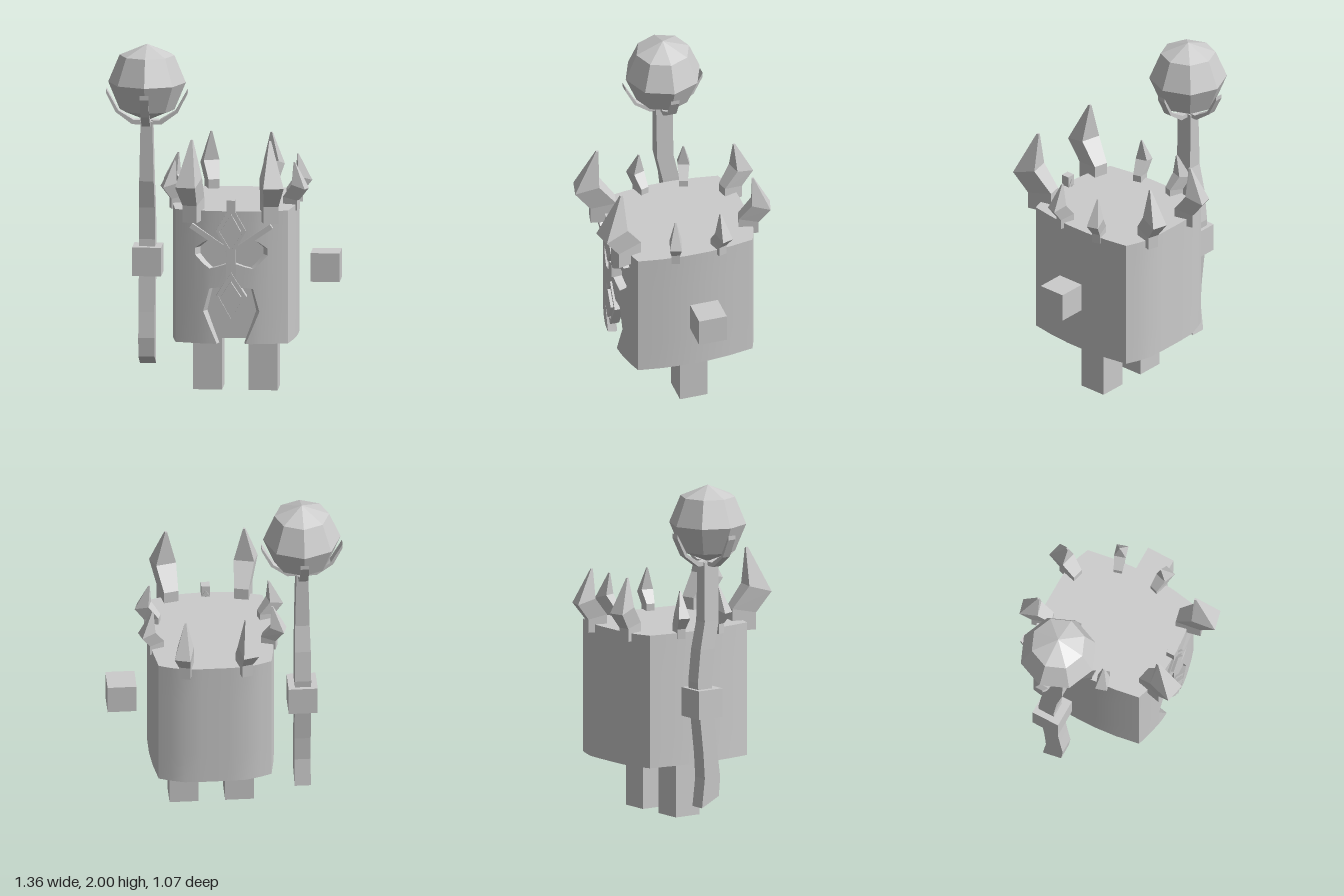
import * as THREE from 'three';
import { mergeVertices, toCreasedNormals } from 'three/addons/utils/BufferGeometryUtils.js';

const CX = 0.073, CZ = -0.03, BOTTOM = 0.33, TOP = 1.11, INNER = 0.87;
const flat = new THREE.MeshStandardMaterial({ color: 0xcccccc, flatShading: true });
const smooth = new THREE.MeshStandardMaterial({ color: 0xcccccc });

function add(parent, name, geometry, x = 0, y = 0, z = 0, material = flat) {
  const mesh = new THREE.Mesh(geometry, material);
  mesh.name = name;
  mesh.position.set(x, y, z);
  parent.add(mesh);
  return mesh;
}

// Collects quads (corners counter-clockwise from outside), dropping empty triangles
function quadBuilder() {
  const pos = [], tri = new THREE.Triangle();
  const put = (...p) => {
    tri.set(...p.map(v => new THREE.Vector3(...v)));
    if (tri.getArea() > 1e-7) pos.push(...p.flat());
  };
  return {
    quad(a, b, c, d) { put(a, b, c); put(a, c, d); },
    build() {
      const g = new THREE.BufferGeometry();
      g.setAttribute('position', new THREE.Float32BufferAttribute(pos, 3));
      g.computeVertexNormals();
      return g;
    },
  };
}

// Closed solid through four-cornered rings, counter-clockwise from above
function loft(rings) {
  const q = quadBuilder();
  for (let i = 0; i < rings.length - 1; i++)
    for (let k = 0; k < 4; k++) {
      const n = (k + 1) % 4;
      q.quad(rings[i][k], rings[i][n], rings[i + 1][n], rings[i + 1][k]);
    }
  const [a, b, c, d] = rings[0];
  q.quad(d, c, b, a);
  q.quad(...rings[rings.length - 1]);
  return q.build();
}

const shapeOf = pts => new THREE.Shape(pts.map(p => new THREE.Vector2(...p)));
const extrude = (shape, depth) => new THREE.ExtrudeGeometry(shape, { depth, bevelEnabled: false });

// Half outline of the helmet: [u, z, mouth bottom, mouth top, eye bottom, eye top]
const HALF = [
  [0, 0.373, 0.33, 0.66, 0.83, 0.83], [0.028, 0.373, 0.33, 0.66, 0.83, 0.83],
  [0.028, 0.373, 0.33, 0.66, 0.80, 0.87], [0.083, 0.37, 0.33, 0.66, 0.782, 0.91],
  [0.126, 0.367, 0.43, 0.655, 0.772, 0.945], [0.163, 0.362, 0.52, 0.52, 0.80, 0.925],
  [0.21, 0.352, 0.52, 0.52, 0.85, 0.89], [0.21, 0.352, 0.52, 0.52, 0.87, 0.87],
  ...[[0.27, 0.338], [0.327, 0.32], [0.35, 0.18], [0.362, 0.04], [0.362, -0.1], [0.35, -0.235],
    [0.327, -0.375], [0.26, -0.402], [0.18, -0.426], [0.08, -0.43], [0, -0.43]]
    .map(p => [...p, 0.52, 0.52, 0.87, 0.87]),
];

function helmetShell() {
  const mirrored = HALF.slice(1, -1).reverse().map(([u, ...r]) => [-u, ...r]);
  const loop = [...HALF, ...mirrored];
  const q = quadBuilder();
  const out = (c, y) => [CX + c[0], y, c[1]];
  const inn = (c, y) => [CX + c[0] * INNER, y, CZ + (c[1] - CZ) * INNER];
  loop.forEach((a, i) => {
    const b = loop[(i + 1) % loop.length];
    const A = [BOTTOM, ...a.slice(2), TOP], B = [BOTTOM, ...b.slice(2), TOP];
    const closed = k => A[k] === A[k + 1] && B[k] === B[k + 1];
    for (const k of [0, 2, 4]) {
      if (closed(k)) continue;
      q.quad(out(a, A[k]), out(b, B[k]), out(b, B[k + 1]), out(a, A[k + 1]));
      q.quad(inn(b, B[k]), inn(a, A[k]), inn(a, A[k + 1]), inn(b, B[k + 1]));
      if (k === 4 || !closed(k + 1))
        q.quad(out(a, A[k + 1]), out(b, B[k + 1]), inn(b, B[k + 1]), inn(a, A[k + 1]));
      if (k === 0 || !closed(k - 1))
        q.quad(inn(a, A[k]), inn(b, B[k]), out(b, B[k]), out(a, A[k]));
    }
  });
  return toCreasedNormals(mergeVertices(q.build().deleteAttribute('normal')), 0.5);
}

// Flat roof filling the inside of the shell
function helmetRoof() {
  const right = HALF.map(([u, z]) => [CX + u * INNER, -(CZ + (z - CZ) * INNER)]);
  const left = HALF.slice(1, -1).reverse().map(([u, z]) => [CX - u * INNER, -(CZ + (z - CZ) * INNER)]);
  const pts = [...right, ...left].filter((p, i, all) =>
    !i || Math.hypot(p[0] - all[i - 1][0], p[1] - all[i - 1][1]) > 1e-5);
  return extrude(shapeOf(pts), 0.06).rotateX(-Math.PI / 2);
}

// Bent crown spike growing outward along +z
function spikeGeometry(k) {
  // [half width, inner s, inner y, outer s, outer y]
  const rings = [[0.043, 0.04, -0.06, 0.15, -0.06], [0.043, 0, 0, 0.15, 0],
    [0.043, 0, 0.07, 0.15, 0.04], [0.06, 0.1, 0.2, 0.24, 0.16], [0.006, 0.1, 0.42, 0.115, 0.42]];
  return loft(rings.map(([w, si, yi, so, yo]) =>
    [[w, yo, so], [w, yi, si], [-w, yi, si], [-w, yo, so]].map(p => p.map(v => v * k))));
}

const diamond = (w, top, mid, bottom) => [[0, top], [-w, mid], [0, bottom], [w, mid]];

export function createModel() {
  const model = new THREE.Group();

  // Helmet with eye and mouth openings, open below
  const helmet = new THREE.Group();
  helmet.name = 'helmet';
  model.add(helmet);
  add(helmet, 'helmetShell', helmetShell(), 0, 0, 0, smooth);
  add(helmet, 'helmetRoof', helmetRoof(), 0, TOP - 0.06, 0);

  // Body, legs and floating hands
  add(model, 'body', new THREE.BoxGeometry(0.52, 0.62, 0.54), CX, 0.65, -0.04);
  for (const s of [-1, 1])
    add(model, s > 0 ? 'leftLeg' : 'rightLeg', new THREE.BoxGeometry(0.168, 0.36, 0.168), CX + s * 0.161, 0.18, -0.045);
  add(model, 'leftHand', new THREE.BoxGeometry(0.168, 0.168, 0.168), 0.593, 0.725, -0.045);
  add(model, 'rightHand', new THREE.BoxGeometry(0.168, 0.168, 0.168), -0.449, 0.725, -0.145);

  // Face ornaments: two framed diamonds, a nose bar and slanted brows
  for (const [name, w, top, mid, bottom] of
    [['browGem', 0.07, 1.12, 0.995, 0.88], ['noseGem', 0.072, 0.72, 0.61, 0.48]]) {
    const frame = shapeOf(diamond(w + 0.018, top + 0.032, mid, bottom - 0.034));
    frame.holes.push(new THREE.Path(diamond(w, top, mid, bottom).map(p => new THREE.Vector2(...p))));
    add(helmet, name + 'Frame', extrude(frame, 0.055), CX, 0, 0.33);
    add(helmet, name, extrude(shapeOf(diamond(w - 0.012, top - 0.02, mid, bottom + 0.02)), 0.07), CX, 0, 0.33);
    add(helmet, name + 'Back', extrude(shapeOf(diamond(w, top, mid, bottom)), 0.05), CX, 0, 0.325);
  }
  add(helmet, 'crestBar', new THREE.BoxGeometry(0.05, 0.1, 0.05), CX, 1.125, 0.36);
  add(helmet, 'noseBar', new THREE.BoxGeometry(0.05, 0.09, 0.05), CX, 0.845, 0.36);
  for (const s of [-1, 1]) {
    const brow = add(helmet, 'brow', new THREE.BoxGeometry(0.25, 0.03, 0.06), CX + s * 0.13, 0.955, 0.352);
    brow.rotation.z = s * 0.6;
  }

  // Crown spikes: [size, u, z, outward direction]
  for (const [k, u, z, dx, dz] of [[1, 0.203, 0.285, 0.05, 0.22], [0.77, 0.153, -0.345, 0.045, -0.17],
    [0.58, 0.287, 0.08, 0.13, 0.04], [0.58, 0.287, -0.155, 0.13, -0.04]])
    for (const s of [-1, 1])
      add(helmet, 'crownSpike', spikeGeometry(k), CX + s * u, TOP, z).rotation.y = Math.atan2(s * dx, dz);

  // Crooked staff: [y, centre z, half width, half depth, end tilt]
  const staff = new THREE.Group();
  staff.name = 'staff';
  staff.position.set(-0.45, 0, 0);
  model.add(staff);
  const shaft = [[0.14, -0.12, 0.047, 0.06, 0.03], [0.28, -0.105, 0.047, 0.055, 0], [0.43, -0.12, 0.047, 0.05, 0],
    [0.65, -0.145, 0.047, 0.05, 0], [0.85, -0.16, 0.047, 0.05, 0], [1.04, -0.14, 0.046, 0.05, 0],
    [1.2, -0.107, 0.042, 0.05, 0], [1.55, -0.104, 0.034, 0.05, 0]];
  add(staff, 'staffShaft', loft(shaft.map(([y, z, w, d, t]) =>
    [[w, y + t, z + d], [w, y - t, z - d], [-w, y - t, z - d], [-w, y + t, z + d]])));
  add(staff, 'staffOrb', new THREE.SphereGeometry(0.225, 8, 4), 0, 1.775, -0.105);

  // Four claws gripping the orb
  const claw = shapeOf([[0, 1.53], [0.085, 1.53], [0.18, 1.6], [0.235, 1.71], [0.235, 1.735],
    [0.165, 1.61], [0.075, 1.555], [0, 1.555]]);
  for (let i = 0; i < 4; i++) {
    const g = extrude(claw, 0.05).translate(0, 0, -0.025);
    add(staff, 'staffClaw', g, 0, 0, -0.105).rotation.y = i * Math.PI / 2;
  }
  return model;
}
